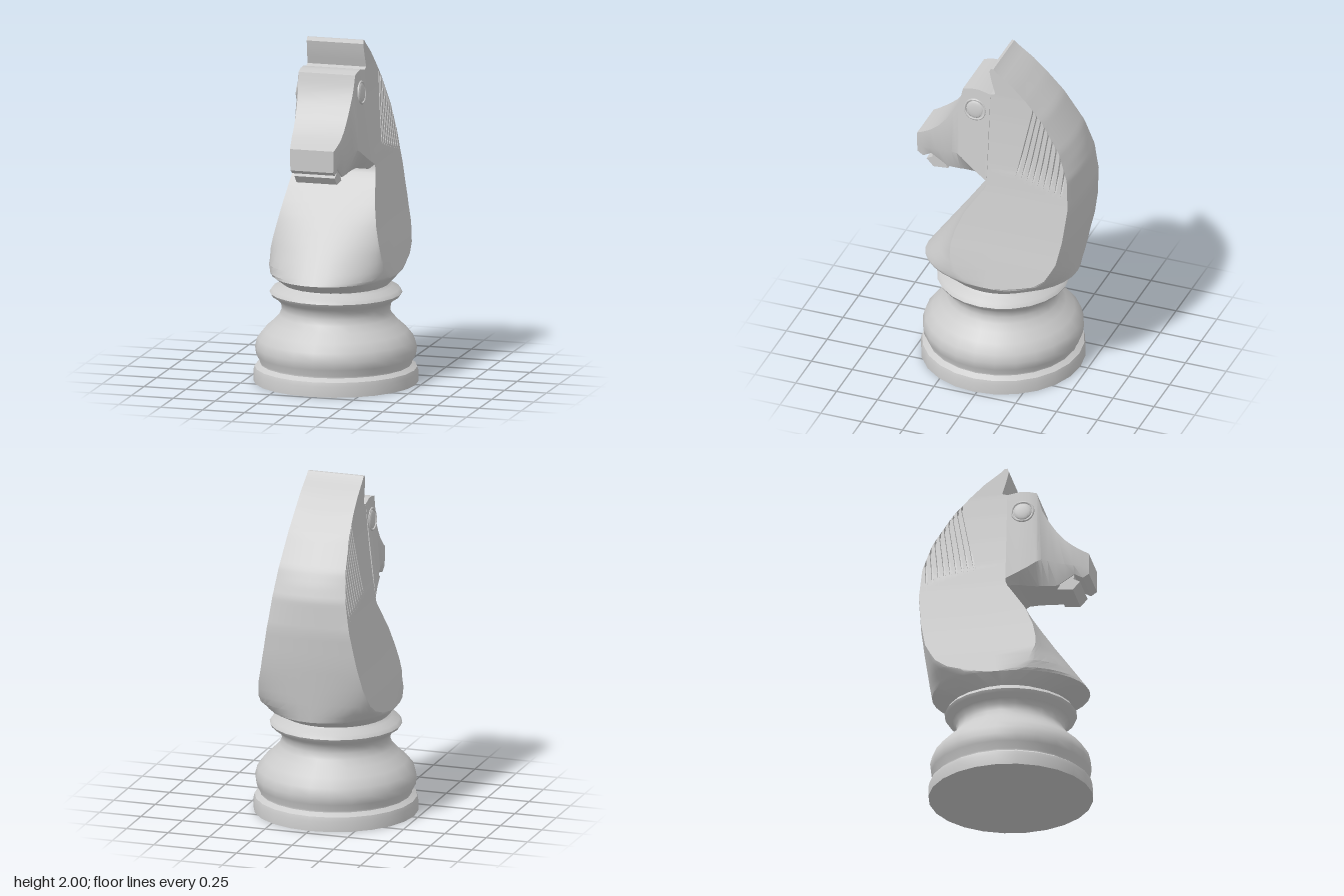
import * as THREE from 'three';
import { toCreasedNormals } from 'three/addons/utils/BufferGeometryUtils.js';

const material = new THREE.MeshStandardMaterial({ color: 0xcccccc });

function addMesh(parent, name, geometry, crease = 0.5) {
  const mesh = new THREE.Mesh(toCreasedNormals(geometry, crease), material);
  mesh.name = name;
  parent.add(mesh);
  return mesh;
}

// Piecewise linear lookup in a list of [key, value] pairs
function lookup(table, t) {
  let i = 1;
  while (i < table.length - 1 && t > table[i][0]) i++;
  const [a, va] = table[i - 1], [b, vb] = table[i];
  return va + (vb - va) * THREE.MathUtils.clamp((t - a) / (b - a), 0, 1);
}

// Skin closed rings of equal length and cap both ends
function loft(rings) {
  const out = [], ab = new THREE.Vector3(), ac = new THREE.Vector3();
  const tri = (a, b, c) => {
    if (ab.subVectors(b, a).cross(ac.subVectors(c, a)).lengthSq() < 1e-14) return;
    for (const p of [a, b, c]) out.push(p.x, p.y, p.z);
  };
  const n = rings[0].length;
  for (let i = 0; i + 1 < rings.length; i++) {
    for (let k = 0; k < n; k++) {
      const l = (k + 1) % n, lo = rings[i], hi = rings[i + 1];
      tri(lo[k], lo[l], hi[l]);
      tri(lo[k], hi[l], hi[k]);
    }
  }
  for (const [ring, flip] of [[rings[0], true], [rings[rings.length - 1], false]]) {
    const mid = new THREE.Vector3();
    ring.forEach(p => mid.addScaledVector(p, 1 / n));
    ring.forEach((p, k) => {
      const q = ring[(k + 1) % n];
      if (flip) tri(mid, q, p); else tri(mid, p, q);
    });
  }
  const g = new THREE.BufferGeometry();
  g.setAttribute('position', new THREE.Float32BufferAttribute(out, 3));
  return g;
}

const mirrorX = p => new THREE.Vector3(-p.x, p.y, p.z);

// Neck outline by height: half width, front and back centre lines, and edges of the side cuts
const halfWidth = [[0.57, 0.3], [0.64, 0.36], [0.8, 0.328], [0.95, 0.295], [1.07, 0.272],
  [1.25, 0.24], [1.4, 0.218], [1.55, 0.2], [1.7, 0.185], [1.83, 0.175], [2, 0.168]];
const front = [[0.57, 0.32], [0.64, 0.475], [1.23, 0.042], [1.26, 0.03], [1.83, 0.03],
  [1.84, 0], [1.92, 0.025], [1.98, 0.038], [2, 0.03]];
const back = [[0.57, -0.28], [0.64, -0.435], [0.8, -0.455], [1, -0.48], [1.2, -0.495], [1.38, -0.485],
  [1.46, -0.457], [1.54, -0.42], [1.72, -0.3], [1.83, -0.19], [1.91, -0.1], [1.98, -0.005], [2, 0.015]];
const frontEdge = [[0.57, 0.02], [0.64, 0.03], [0.655, 0.1], [0.7, 0.18], [0.8, 0.22], [0.86, 0.22],
  [0.95, 0.2], [1.07, 0.15], [1.25, 0.03], [1.83, 0.03], [1.84, 0], [1.92, 0.025], [1.98, 0.038], [2, 0.03]];
const backEdge = [[0.57, 0.02], [0.64, -0.05], [0.66, -0.16], [0.7, -0.29], [0.75, -0.36], [0.85, -0.42],
  [1, -0.45], [1.2, -0.47], [1.38, -0.455], [1.54, -0.4], [1.72, -0.285], [1.83, -0.185],
  [1.91, -0.1], [1.98, -0.005], [2, 0.015]];
const roundness = [[0.64, 0.5], [0.88, 1]];

function neckRing(y) {
  const w = lookup(halfWidth, y), f = lookup(front, y), b = lookup(back, y);
  const fe = Math.min(lookup(frontEdge, y), f), be = Math.max(lookup(backEdge, y), b);
  const power = lookup(roundness, y), steps = 8, half = [];
  const arc = (i, edge, centre) => {
    const a = (i / steps) * Math.PI / 2;
    const z = edge + (centre - edge) * Math.pow(Math.cos(a), 2 * power);
    half.push(new THREE.Vector3(w * Math.sin(a), y, z));
  };
  for (let i = 0; i <= steps; i++) arc(i, fe, f);
  // Mane grooves, each a narrow slot that deepens upwards
  for (let j = 0; j < 9; j++) {
    const z = -0.14 - 0.036 * j - (y - 1.3) * (0.2 - 0.015 * j);
    const depth = THREE.MathUtils.clamp((y - 1.36 + 0.01 * j) * 0.2, 0, 0.022);
    for (const [dz, d] of [[0.006, 0], [0.005, depth], [-0.005, depth], [-0.006, 0]]) {
      const open = z + dz > be && z + dz < fe;
      half.push(new THREE.Vector3(w - (open ? d : 0), y, THREE.MathUtils.clamp(z + dz, be, fe)));
    }
  }
  for (let i = steps; i >= 0; i--) arc(i, be, b);
  return [...half, ...half.slice(1, -1).reverse().map(mirrorX)];
}

export function createModel() {
  const model = new THREE.Group();
  model.name = 'chessKnight';

  // Turned base
  const profile = [[0, 0], [0.472, 0], [0.472, 0.06], [0.465, 0.085], [0.435, 0.105], [0.435, 0.115],
    [0.457, 0.155], [0.463, 0.2], [0.45, 0.25], [0.41, 0.3], [0.36, 0.345], [0.325, 0.385], [0.31, 0.42],
    [0.315, 0.455], [0.335, 0.48], [0.37, 0.503], [0.38, 0.52], [0.365, 0.542], [0.32, 0.558],
    [0.3, 0.58], [0, 0.58]].map(p => new THREE.Vector2(...p));
  addMesh(model, 'base', new THREE.LatheGeometry(profile, 24), 0.7).position.z = 0.018;

  // Neck, mane and ears
  const heights = [0.57, 0.64, 0.655, 0.675, 0.7, 0.75, 0.8, 0.86, 0.95, 1, 1.07, 1.15, 1.2, 1.23, 1.26];
  for (let y = 1.285; y < 1.82; y += 0.02) heights.push(y);
  heights.push(1.83, 1.84, 1.88, 1.91, 1.95, 1.98, 2);
  addMesh(model, 'neck', loft(heights.map(neckRing)));

  // Head sections: z, then heights and half widths of brow, cheek line and jaw
  const sections = [
    [0.03, 1.83, 1.28, 1.25, 0.175, 0.236, 0.2],
    [0.1, 1.845, 1.32, 1.27, 0.172, 0.222, 0.15],
    [0.15, 1.843, 1.35, 1.265, 0.171, 0.212, 0.135],
    [0.2, 1.83, 1.385, 1.262, 0.169, 0.2, 0.13],
    [0.212, 1.78, 1.39, 1.262, 0.167, 0.198, 0.13],
    [0.23, 1.72, 1.4, 1.26, 0.163, 0.192, 0.13],
    [0.265, 1.655, 1.395, 1.258, 0.158, 0.18, 0.128],
    [0.31, 1.588, 1.385, 1.258, 0.154, 0.166, 0.127],
    [0.36, 1.53, 1.375, 1.29, 0.15, 0.156, 0.127],
    [0.41, 1.49, 1.368, 1.322, 0.146, 0.149, 0.128],
    [0.46, 1.46, 1.36, 1.295, 0.137, 0.138, 0.128],
    [0.495, 1.443, 1.355, 1.318, 0.13, 0.13, 0.127],
  ];
  addMesh(model, 'head', loft(sections.map(([z, top, cheek, jaw, wTop, wCheek, wJaw]) => {
    const side = [[wJaw, jaw], [wCheek, cheek], [wTop, top]].map(([x, y]) => new THREE.Vector3(x, y, z));
    return [...side, ...side.slice().reverse().map(mirrorX)];
  })));

  // Lower lip, extruded across the head
  const lip = new THREE.Shape([[0.3, 1.3], [0.325, 1.262], [0.31, 1.238], [0.4, 1.23], [0.442, 1.275],
    [0.405, 1.295], [0.41, 1.335], [0.33, 1.34]].map(p => new THREE.Vector2(...p)));
  const lipGeometry = new THREE.ExtrudeGeometry(lip, { depth: 0.24, bevelEnabled: false });
  lipGeometry.translate(0, 0, -0.12).rotateY(-Math.PI / 2);
  addMesh(model, 'lowerLip', lipGeometry);

  // Eyes
  for (const s of [1, -1]) {
    const eye = new THREE.Group();
    eye.name = s > 0 ? 'leftEye' : 'rightEye';
    addMesh(eye, 'eyeRim', new THREE.TorusGeometry(0.062, 0.007, 8, 28), 1);
    addMesh(eye, 'eyeball', new THREE.SphereGeometry(0.053, 24, 12).scale(1, 1, 0.2), 1);
    eye.position.set(s * 0.183, 1.715, 0.12);
    eye.rotation.set(-0.1, s * Math.PI / 2, 0, 'YXZ');
    model.add(eye);
  }
  return model;
}
